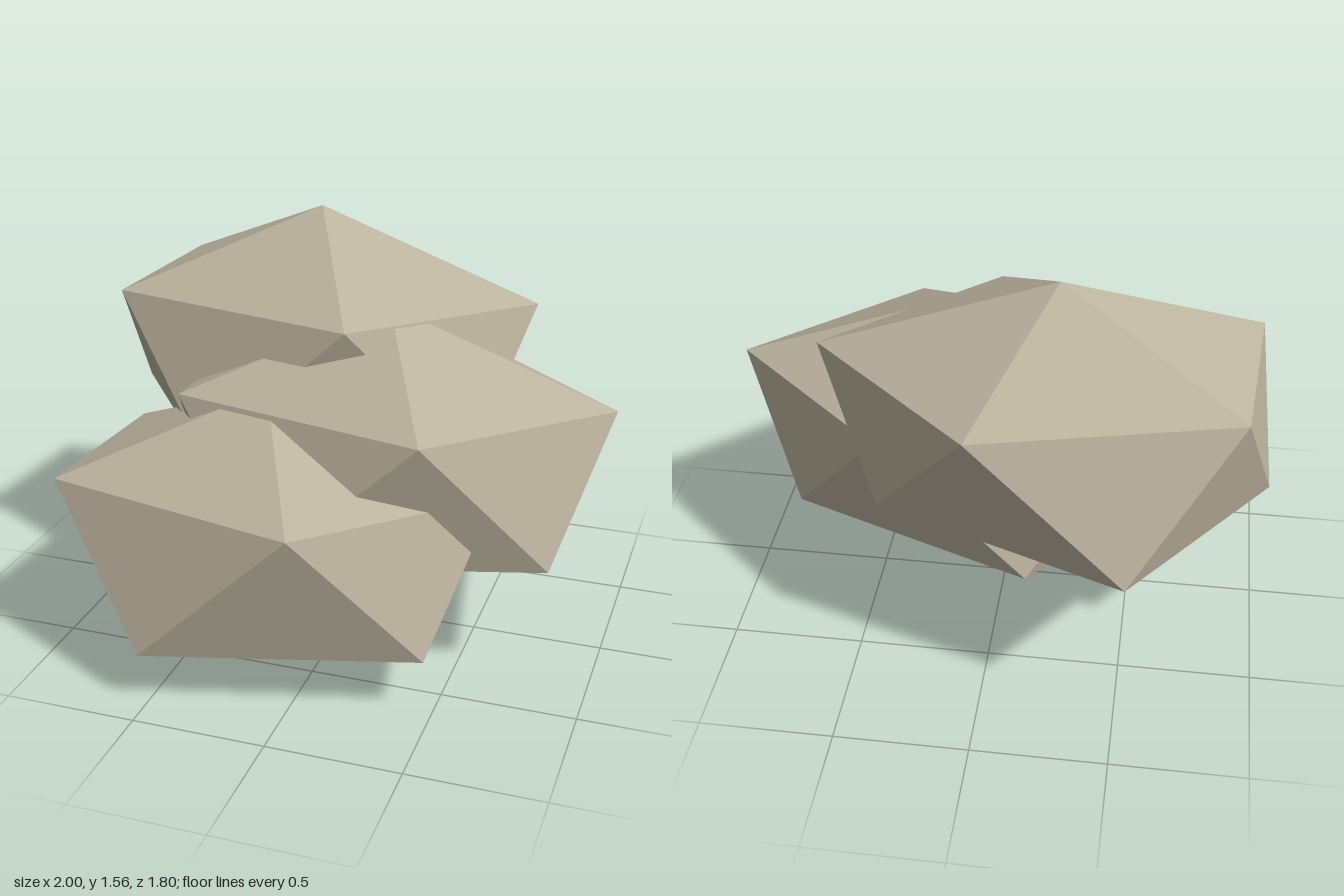
import * as THREE from 'three';

// One faceted boulder: two poles and two staggered five-point rings
const TOP = [-0.23, 1.04, 0.31];
const BOTTOM = [-0.23, 0, 0.31];
const UPPER = [[0.63, 0.73, 0.31], [0.04, 0.73, 0.86], [-0.94, 0.73, 0.65], [-0.89, 0.73, -0.01], [0.03, 0.72, -0.22]];
const LOWER = [[0.47, 0.22, 0.65], [-0.52, 0.205, 0.9], [-1, 0.25, 0.31], [-0.52, 0.205, -0.27], [0.38, 0.255, 0.02]];

function boulderGeometry() {
  const corners = [];
  for (let i = 0; i < 5; i++) {
    const j = (i + 1) % 5;
    corners.push(
      TOP, UPPER[j], UPPER[i], // cap
      UPPER[i], UPPER[j], LOWER[i], // side band
      UPPER[j], LOWER[j], LOWER[i],
      BOTTOM, LOWER[i], LOWER[j] // underside
    );
  }
  const geometry = new THREE.BufferGeometry();
  geometry.setAttribute('position', new THREE.Float32BufferAttribute(corners.flat(), 3));
  geometry.computeVertexNormals();
  return geometry;
}

export function createModel() {
  const group = new THREE.Group();
  group.name = 'rockPile';
  const stone = new THREE.MeshStandardMaterial({ color: 0xbdb49f });
  stone.name = 'stone';
  stone.flatShading = true;

  // The same boulder stepped up and back three times
  const geometry = boulderGeometry();
  const placements = [
    ['lowerBoulder', 0, 0, 0],
    ['middleBoulder', 0.37, 0.26, -0.31],
    ['upperBoulder', 0, 0.525, -0.63],
  ];
  for (const [name, x, y, z] of placements) {
    const boulder = new THREE.Mesh(geometry, stone);
    boulder.name = name;
    boulder.position.set(x, y, z);
    group.add(boulder);
  }
  return group;
}
